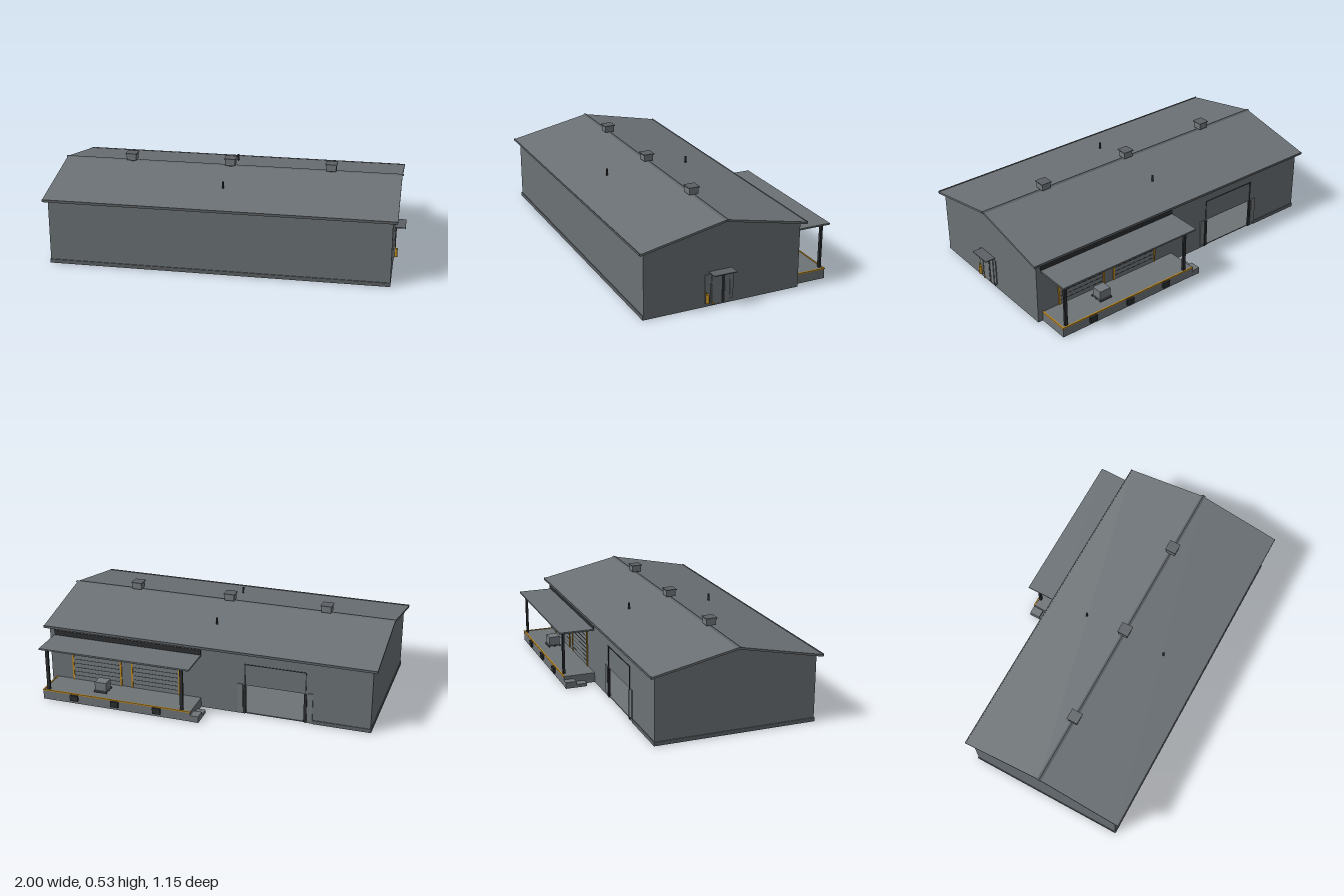
import * as THREE from 'three';

const mat = (name, color) => {
  const m = new THREE.MeshStandardMaterial({ color });
  m.name = name;
  return m;
};

export function createModel() {
  const model = new THREE.Group();
  model.name = 'warehouse';
  const wall = mat('wallGrey', 0x6b7175);
  const roof = mat('roofGrey', 0x6b7175);
  const trim = mat('trimGrey', 0x5c6165);
  const concrete = mat('concreteGrey', 0x6e7376);
  const panel = mat('panelGrey', 0x72787c);
  const dark = mat('darkRubber', 0x2b2d2f);
  const yellow = mat('safetyYellow', 0xc08a1e);

  const add = (name, geo, material, parent = model) => {
    const m = new THREE.Mesh(geo, material);
    m.name = name;
    parent.add(m);
    return m;
  };
  // Box given by its extents
  const box = (name, material, [x0, x1], [y0, y1], [z0, z1], parent) => {
    const g = new THREE.BoxGeometry(x1 - x0, y1 - y0, z1 - z0);
    g.translate((x0 + x1) / 2, (y0 + y1) / 2, (z0 + z1) / 2);
    return add(name, g, material, parent);
  };
  // Profile in (z, y) extruded along x
  const prism = (name, material, pts, x0, x1, parent) => {
    const s = new THREE.Shape(pts.map(([z, y]) => new THREE.Vector2(-z, y)));
    const g = new THREE.ExtrudeGeometry(s, { depth: x1 - x0, bevelEnabled: false });
    g.rotateY(Math.PI / 2).translate(x0, 0, 0);
    return add(name, g, material, parent);
  };

  // Hollow hall: gable walls, front wall, floor
  const gable = [[0.545, 0], [0.545, 0.378], [0.085, 0.474], [-0.37, 0.379], [-0.37, 0]];
  prism('rightGableWall', wall, gable, -0.97, -0.96);
  prism('leftGableWall', wall, gable, 0.93, 0.94);
  box('frontWall', wall, [-0.96, 0.93], [0, 0.378], [0.535, 0.545]);
  box('floor', concrete, [-0.96, 0.93], [0, 0.006], [-0.365, 0.535]);

  // Back wall with the loading gate opening
  const ws = new THREE.Shape();
  ws.moveTo(-0.96, 0).lineTo(-0.6, 0).lineTo(-0.6, 0.306).lineTo(-0.25, 0.306)
    .lineTo(-0.25, 0).lineTo(0.93, 0).lineTo(0.93, 0.379).lineTo(-0.96, 0.379);
  const wg = new THREE.ExtrudeGeometry(ws, { depth: 0.01, bevelEnabled: false });
  add('backWall', wg.translate(0, 0, -0.37), wall);

  // Plinth strips
  box('frontPlinth', trim, [-0.974, 0.94], [0, 0.022], [0.545, 0.55]);
  box('rightPlinth', trim, [-0.974, -0.97], [0, 0.022], [-0.37, 0.55]);
  box('backPlinth', trim, [-0.974, -0.64], [0, 0.022], [-0.374, -0.37]);

  // Gable roof, ridge cap and gutters
  prism('roof', roof, [[0.572, 0.384], [0.085, 0.485], [-0.398, 0.385], [-0.398, 0.373],
    [0.085, 0.473], [0.572, 0.372]], -0.995, 0.965);
  prism('ridgeCap', trim, [[0.097, 0.483], [0.085, 0.489], [0.073, 0.483]], -1, 0.972);
  box('frontGutter', trim, [-0.995, 0.965], [0.376, 0.388], [0.57, 0.576]);
  box('backGutter', trim, [-0.995, 0.965], [0.376, 0.388], [-0.4, -0.394]);

  // Ridge vents
  for (const x of [-0.6, -0.017, 0.565]) {
    const v = new THREE.Group();
    v.name = 'ridgeVent';
    v.position.set(x, 0, 0.088);
    model.add(v);
    box('ventNeck', trim, [-0.012, 0.012], [0.475, 0.492], [-0.012, 0.012], v);
    box('ventBody', panel, [-0.028, 0.028], [0.49, 0.528], [-0.028, 0.028], v);
    box('ventCap', trim, [-0.033, 0.033], [0.527, 0.532], [-0.033, 0.033], v);
  }
  // Roof pipes
  for (const z of [-0.162, 0.338]) {
    const g = new THREE.CylinderGeometry(0.006, 0.006, 0.055, 12);
    add('roofPipe', g.translate(-0.017, 0.4435, z), dark);
  }

  // Half-open loading gate in the back wall
  box('gateLeaf', wall, [-0.6, -0.25], [0.178, 0.306], [-0.368, -0.362]);
  box('gateHeader', dark, [-0.604, -0.246], [0.304, 0.308], [-0.373, -0.368]);
  for (const [x, s] of [[-0.25, 1], [-0.6, -1]]) {
    box('gateTrack', dark, [x - 0.002, x + 0.002], [0, 0.306], [-0.373, -0.366]);
    box('gateBumper', dark, [x - 0.008, x + 0.008], [0.005, 0.175], [-0.376, -0.366]);
    const e = [x + s * 0.012, x + s * 0.042].sort((a, b) => a - b);
    box('gateSidePanel', panel, e, [0.02, 0.185], [-0.376, -0.37]);
  }

  // Side entrance with double door and canopy
  box('doorFrame', trim, [0.938, 0.942], [0.005, 0.187], [0.05, 0.16]);
  box('doorGap', dark, [0.94, 0.945], [0.01, 0.183], [0.081, 0.099]);
  box('frontDoorLeaf', panel, [0.94, 0.947], [0.01, 0.183], [0.099, 0.156]);
  box('backDoorLeaf', panel, [0.94, 0.947], [0.01, 0.183], [0.056, 0.081]);
  box('frontSidePanel', panel, [0.94, 0.946], [0.025, 0.185], [0.164, 0.197]);
  box('backSidePanel', panel, [0.94, 0.946], [0.025, 0.185], [0.03, 0.05]);
  box('entranceCanopy', trim, [0.94, 1], [0.194, 0.199], [0.038, 0.172]);
  const ext = new THREE.CylinderGeometry(0.009, 0.009, 0.05, 12);
  add('extinguisher', ext.translate(0.953, 0.05, 0.184), yellow);
  box('extinguisherNozzle', yellow, [0.946, 0.952], [0.07, 0.088], [0.189, 0.195]);
  box('doorStop', yellow, [0.946, 0.952], [0.01, 0.02], [0.146, 0.155]);

  // Loading dock with edge stripe and bumpers
  box('dock', concrete, [0.01, 0.91], [0, 0.058], [-0.558, -0.37]);
  box('dockEdgeStripe', yellow, [0.01, 0.91], [0.054, 0.061], [-0.56, -0.552]);
  box('dockEndStripe', yellow, [0.904, 0.912], [0.054, 0.061], [-0.56, -0.37]);
  for (const x of [0.715, 0.465, 0.21])
    box('dockBumper', dark, [x - 0.024, x + 0.024], [0.018, 0.052], [-0.57, -0.558]);
  box('upperStep', concrete, [-0.038, 0.01], [0, 0.038], [-0.56, -0.497]);
  box('lowerStep', concrete, [-0.038, 0.01], [0, 0.019], [-0.497, -0.433]);

  // Dock canopy on posts
  box('dockCanopy', roof, [0.01, 0.912], [0.317, 0.326], [-0.576, -0.37]);
  box('canopyFlashing', dark, [0.01, 0.912], [0.326, 0.357], [-0.373, -0.37]);
  for (const x of [0.065, 0.88])
    box('canopyPost', dark, [x - 0.009, x + 0.009], [0.058, 0.317], [-0.548, -0.535]);

  // Slatted dock doors with yellow jambs
  for (const [x0, x1] of [[0.5, 0.8], [0.14, 0.43]]) {
    box('dockDoor', panel, [x0, x1], [0.058, 0.29], [-0.373, -0.37]);
    for (const x of [x0, x1])
      box('dockDoorJamb', yellow, [x - 0.005, x + 0.005], [0.058, 0.292], [-0.376, -0.37]);
    for (let i = 1; i < 9; i++) {
      const y = 0.058 + i * 0.0258;
      box('doorSlatLine', dark, [x0 + 0.008, x1 - 0.008], [y - 0.0013, y + 0.0013], [-0.374, -0.372]);
    }
  }

  // Crate on a pallet
  box('crate', panel, [0.545, 0.615], [0.069, 0.12], [-0.49, -0.425]);
  box('palletDeck', trim, [0.54, 0.62], [0.065, 0.069], [-0.496, -0.42]);
  for (const z of [-0.493, -0.458, -0.423])
    box('palletRunner', dark, [0.54, 0.62], [0.058, 0.065], [z - 0.003, z + 0.003]);

  return model;
}
